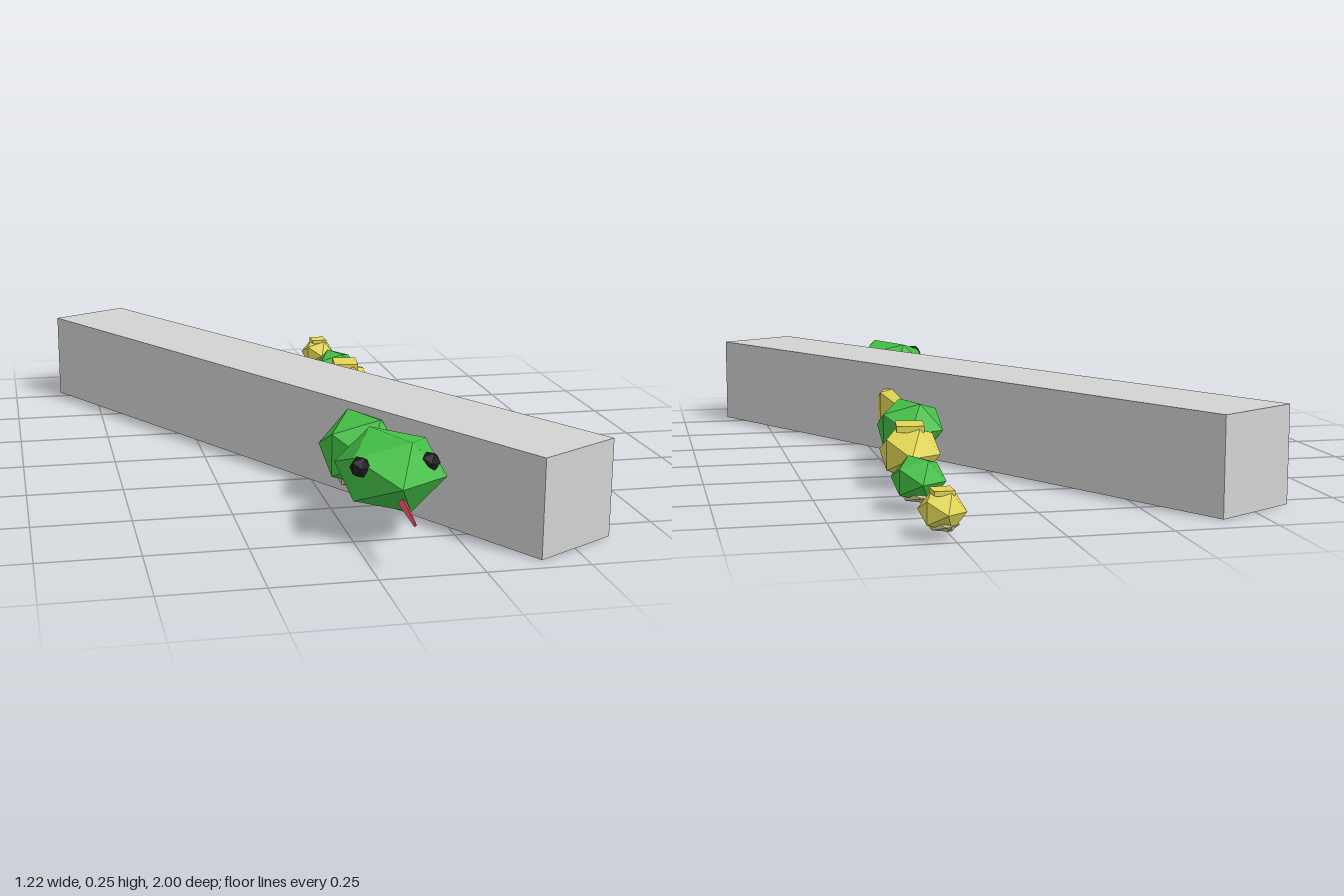
import * as THREE from 'three';

const mat = (name, color) => {
  const m = new THREE.MeshStandardMaterial({ color, flatShading: true });
  m.name = name;
  return m;
};

export function createModel() {
  const root = new THREE.Group();
  root.name = 'snakeAndWall';
  const grey = mat('stone grey', 0xd3d3d3);
  const green = mat('snake green', 0x44c046);
  const yellow = mat('snake yellow', 0xe4d855);
  const pale = mat('belly tan', 0xd2cc94);
  const black = mat('eye black', 0x1a1a1c);
  const red = mat('tongue red', 0xcc4455);

  const add = (parent, name, geo, material, x, y, z) => {
    const m = new THREE.Mesh(geo, material);
    m.name = name;
    m.position.set(x, y, z);
    parent.add(m);
    return m;
  };

  // Twenty-sided blob with one corner pointing forward and one backward
  const blob = (rx, ry, rz) => new THREE.IcosahedronGeometry(1, 0)
    .rotateX(Math.atan(2 / (1 + Math.sqrt(5))))
    .rotateZ(Math.PI / 2)
    .scale(rx, ry, rz);

  // Wall lying diagonally across the snake
  const wall = add(root, 'wall', new THREE.BoxGeometry(0.245, 0.245, 2.016), grey, 0, 0.1225, 0.017);
  wall.rotation.y = Math.PI / 6;

  // Body segments from neck to tail: x, y, z, rx, ry, rz, yaw
  const segments = [
    [0.098, 0.135, 0.44, 0.122, 0.105, 0.13, -0.1],
    [0.137, 0.12, 0.16, 0.112, 0.094, 0.134, -0.2],
    [0.186, 0.105, -0.11, 0.099, 0.084, 0.118, -0.17],
    [0.238, 0.09, -0.385, 0.084, 0.075, 0.105, -0.13],
    [0.269, 0.075, -0.66, 0.069, 0.059, 0.085, -0.06],
    [0.27, 0.06, -0.938, 0.056, 0.05, 0.064, 0.02],
  ];
  segments.forEach(([x, y, z, rx, ry, rz, yaw], i) => {
    const seg = new THREE.Group();
    seg.name = 'bodySegment' + (i + 1);
    seg.position.set(x, y, z);
    seg.rotation.y = yaw;
    root.add(seg);
    const banded = i % 2 === 1;
    add(seg, 'segmentBody', blob(rx, ry, rz), banded ? yellow : green, 0, 0, 0);
    add(seg, 'belly', blob(rx * 0.7, ry * 0.36, rz * 0.8), pale, 0, -ry * 0.58, 0);
    // Raised scale on the yellow segments
    if (banded) {
      add(seg, 'backScale', new THREE.BoxGeometry(rx * 0.84, ry * 0.22, rz * 0.86), yellow, 0, ry * 0.85, 0);
    }
  });

  // Head with eyes and tongue
  const head = new THREE.Group();
  head.name = 'head';
  root.add(head);
  const skull = add(head, 'skull', blob(0.138, 0.1, 0.168), green, 0.1, 0.16, 0.699);
  skull.rotation.y = -0.07;
  for (const [name, x, z] of [['rightEye', 0.005, 0.787], ['leftEye', 0.175, 0.782]]) {
    add(head, name, blob(0.026, 0.028, 0.016), black, x, 0.197, z);
  }
  const tongue = add(head, 'tongue',
    new THREE.CylinderGeometry(0.004, 0.011, 0.135, 4).rotateX(Math.PI / 2), red, 0.084, 0.126, 0.932);
  tongue.rotation.set(0.05, -0.05, 0);

  return root;
}
